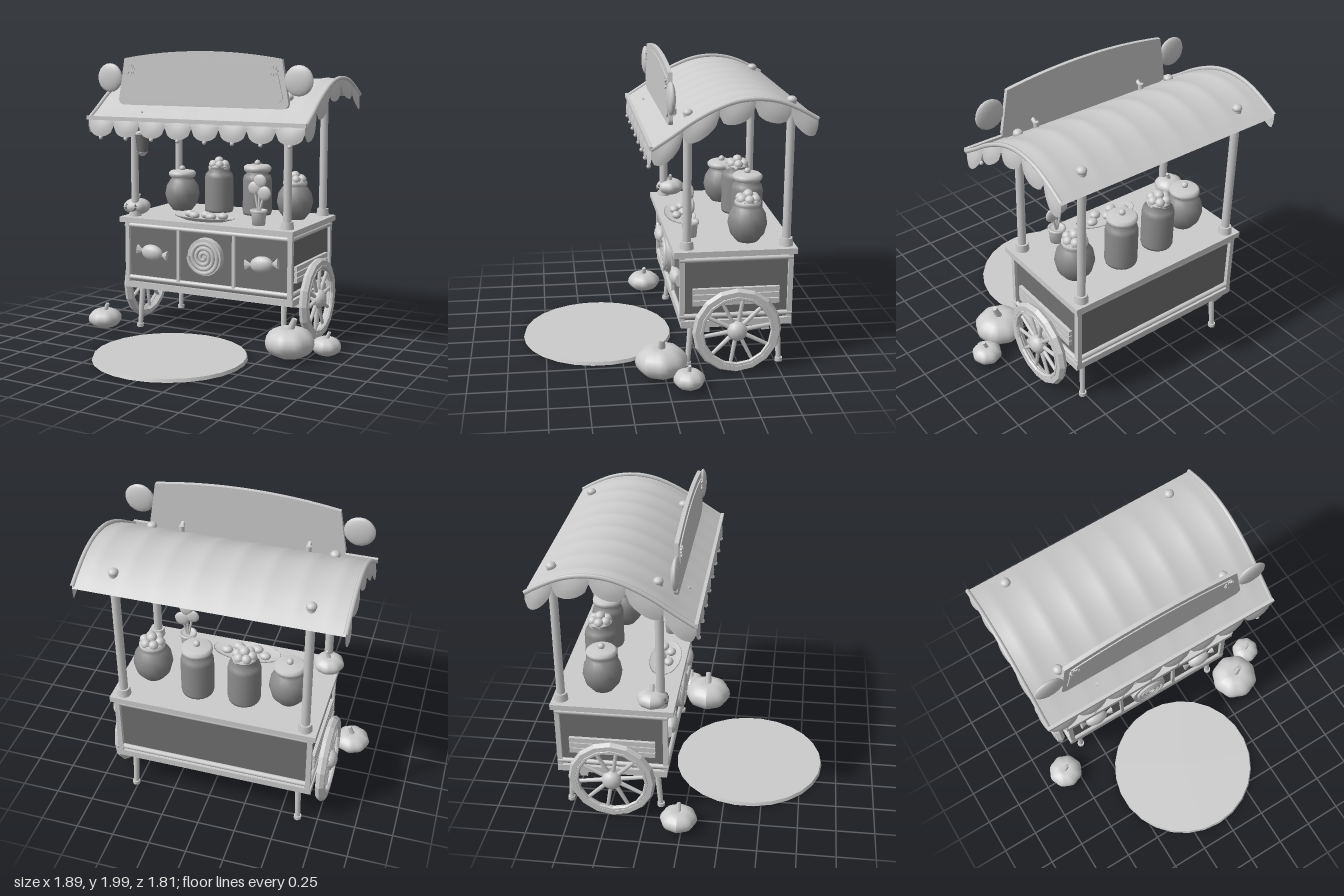
import * as THREE from 'three';

const mat = (color, extra = {}) => new THREE.MeshStandardMaterial({ color, ...extra });
const grey = mat(0xcccccc);
const flat = mat(0xcccccc, { flatShading: true });
const cloth = mat(0xcccccc, { side: THREE.DoubleSide });
const dark = mat(0x707070);
const glass = mat(0x8c8c8c);
const V = (x, y, z) => new THREE.Vector3(x, y, z);
const CX = -0.053; // centre line of the cart
const CZ = -0.465;

function add(parent, name, geo, pos = [0, 0, 0], material = grey) {
  const m = new THREE.Mesh(geo, material);
  m.name = name;
  m.position.set(...pos);
  parent.add(m);
  return m;
}
const box = (p, name, size, pos, m) => add(p, name, new THREE.BoxGeometry(...size), pos, m);
function ball(p, name, r, pos, scale = [1, 1, 1], m) {
  const b = add(p, name, new THREE.SphereGeometry(r, 14, 10), pos, m);
  b.scale.set(...scale);
  return b;
}
function rod(p, name, a, b, r0, r1 = r0, sides = 10) {
  const d = b.clone().sub(a);
  const m = add(p, name, new THREE.CylinderGeometry(r1, r0, d.length(), sides), a.clone().add(b).multiplyScalar(0.5).toArray());
  m.quaternion.setFromUnitVectors(V(0, 1, 0), d.normalize());
  return m;
}
const lathe = (p, name, pts, pos, m, sides = 20) =>
  add(p, name, new THREE.LatheGeometry(pts.map(q => new THREE.Vector2(...q)), sides), pos, m);
function group(p, name, pos = [0, 0, 0]) {
  const g = new THREE.Group();
  g.name = name;
  g.position.set(...pos);
  p.add(g);
  return g;
}

// Surface through a grid of points f(u, v)
function sheet(f, nu, nv) {
  const g = new THREE.PlaneGeometry(1, 1, nu, nv), p = g.attributes.position;
  for (let i = 0; i < p.count; i++) p.setXYZ(i, ...f(p.getX(i) + 0.5, 0.5 - p.getY(i)));
  g.computeVertexNormals();
  return g;
}

// Ribbed pumpkin with a bent stem
function pumpkin(p, r, h, pos) {
  const g = group(p, 'pumpkin', pos);
  const geo = new THREE.SphereGeometry(1, 32, 12), a = geo.attributes.position;
  for (let i = 0; i < a.count; i++) {
    const v = V(0, 0, 0).fromBufferAttribute(a, i), q = Math.hypot(v.x, v.z);
    const lobe = 1 - 0.06 * (1 - Math.cos(8 * Math.atan2(v.z, v.x))) / 2;
    const y = v.y * (1 - 0.2 * Math.max(0, 1 - q * 2));
    a.setXYZ(i, v.x * lobe * r, (y + 1) * h / 2, v.z * lobe * r);
  }
  geo.computeVertexNormals();
  add(g, 'pumpkinBody', geo);
  rod(g, 'stem', V(0, h * 0.85, 0), V(r * 0.2, h * 1.25, 0), r * 0.15, r * 0.11, 6);
  return g;
}

function wheel(p, x, side) {
  const g = group(p, 'wheel', [x, 0.297, CZ]);
  g.rotation.y = side * Math.PI / 2;
  add(g, 'rim', new THREE.TorusGeometry(0.257, 0.032, 6, 16), [0, 0, 0], flat);
  add(g, 'innerRim', new THREE.TorusGeometry(0.23, 0.014, 6, 16), [0, 0, 0.018], flat);
  for (let i = 0; i < 10; i++) {
    const t = i / 10 * Math.PI * 2 + 0.15;
    rod(g, 'spoke', V(0, 0, 0), V(Math.cos(t) * 0.24, Math.sin(t) * 0.24, 0), 0.016, 0.012, 6);
  }
  ball(g, 'hub', 0.066, [0, 0, 0.01], [1, 1, 0.8]);
}

// Scalloped cloth strip hanging from an edge, bulging along "out"
function valance(p, edge, n, depth, out, beads) {
  const drop = u => 0.38 + 0.62 * Math.sqrt(Math.max(0, 1 - (2 * u - 1) ** 2));
  for (let i = 0; i < n; i++) {
    add(p, 'valanceScallop', sheet((u, v) => {
      const e = edge((i + u) / n), b = 0.018 * Math.sin(Math.PI * u) * Math.sin(v * 2.2);
      return [e.x + out.x * b, e.y - depth * v * drop(u), e.z + out.z * b];
    }, 10, 4), [0, 0, 0], cloth);
    if (beads) ball(p, 'bead', 0.014, edge((i + 0.5) / n).add(V(0, -depth - 0.008, 0.008)).toArray());
  }
}

// Wrapped sweet
function sweet(p, pos, tilt, s = 1) {
  const g = group(p, 'wrappedSweet', pos);
  g.rotation.z = tilt;
  g.scale.setScalar(s);
  ball(g, 'sweetBody', 0.085, [0, 0, 0], [1, 0.68, 0.5]);
  for (const k of [-1, 1]) {
    const w = add(g, 'wrapperEnd', new THREE.ConeGeometry(0.04, 0.055, 8), [k * 0.095, 0, 0], flat);
    w.rotation.z = k * Math.PI / 2;
    w.scale.z = 0.5;
  }
}

function jar(p, x, z, profile, lidY, lidR, open) {
  const g = group(p, 'jar', [x, 0.83, z]);
  lathe(g, 'jarGlass', profile, [0, 0, 0], glass);
  lathe(g, 'jarRim', [[0, -0.025], [lidR * 0.9, -0.025], [lidR, -0.008], [lidR, 0.008], [lidR * 0.85, 0.022], [0, 0.028]], [0, lidY, 0]);
  if (!open) return ball(g, 'lidKnob', 0.022, [0, lidY + 0.038, 0]);
  for (let i = 0; i < 6; i++) ball(g, 'gumball', 0.032, [Math.cos(i * 1.05) * lidR * 0.6, lidY + 0.025, Math.sin(i * 1.05) * lidR * 0.6]);
  ball(g, 'gumball', 0.034, [0, lidY + 0.05, 0]);
}

function buildCart(p) {
  box(p, 'counterTop', [1.34, 0.038, 0.79], [CX, 0.81, -0.455]);
  box(p, 'cabinet', [1.26, 0.44, 0.68], [CX, 0.575, CZ], dark);
  box(p, 'baseSlab', [1.31, 0.045, 0.72], [CX, 0.333, -0.47]);
  for (const z of [-0.27, -0.66]) box(p, 'underRail', [1.3, 0.035, 0.05], [CX, 0.293, z]);
  // Frame around the panels
  for (const z of [-0.118, -0.815]) {
    for (const y of [0.765, 0.385]) rod(p, 'longRail', V(-0.7, y, z), V(0.595, y, z), 0.017);
    for (const x of [-0.685, 0.58]) box(p, 'cornerPost', [0.032, 0.44, 0.032], [x, 0.575, z]);
  }
  for (const x of [-0.69, 0.585]) {
    for (const y of [0.765, 0.385]) rod(p, 'sideRail', V(x, y, -0.1), V(x, y, -0.83), 0.016);
    for (let i = 0; i < 3; i++) box(p, 'sideSlat', [0.03, 0.034, 0.56], [x, 0.475 + i * 0.04, CZ]);
  }
  for (const x of [-0.27, 0.163]) box(p, 'divider', [0.022, 0.37, 0.03], [x, 0.575, -0.118]);
  // Splayed legs, axle and wheels
  for (const x of [-0.61, 0.505]) for (const z of [-0.19, -0.755]) {
    const foot = V(x - 0.01 * Math.sign(-x), 0.01, z + (z > -0.4 ? 0.025 : -0.02));
    rod(p, 'leg', foot, V(x, 0.32, z), 0.017, 0.021);
    rod(p, 'foot', foot, foot.clone().add(V(0, 0.025, 0)), 0.025);
  }
  rod(p, 'axle', V(-0.745, 0.297, CZ), V(0.64, 0.297, CZ), 0.02);
  wheel(p, -0.745, -1);
  wheel(p, 0.64, 1);
  // Front ornaments
  sweet(p, [-0.48, 0.58, -0.105], -0.12);
  sweet(p, [0.375, 0.58, -0.105], 0.12);
  const disc = add(p, 'swirlDisc', new THREE.CylinderGeometry(0.13, 0.135, 0.04, 20), [CX, 0.59, -0.105]);
  disc.rotation.x = Math.PI / 2;
  const spiral = Array.from({ length: 60 }, (_, i) => {
    const t = i / 59, a = -t * Math.PI * 7;
    return V(Math.cos(a) * (0.01 + 0.11 * t), Math.sin(a) * (0.01 + 0.11 * t), 0);
  });
  add(p, 'swirl', new THREE.TubeGeometry(new THREE.CatmullRomCurve3(spiral), 110, 0.014, 6), [CX, 0.59, -0.08]);
}

function buildCanopy(p) {
  const arch = new THREE.CatmullRomCurve3([[0.1, 1.53], [-0.016, 1.605], [-0.14, 1.69], [-0.28, 1.765], [-0.41, 1.81],
    [-0.545, 1.822], [-0.68, 1.8], [-0.81, 1.745], [-0.9, 1.695]].map(([z, y]) => V(0, y, z)));
  const x0 = -0.865, w = 1.625;
  const roof = lift => sheet((u, v) => {
    const e = arch.getPoint(1 - v);
    return [x0 + w * u, e.y + lift - 0.01 * Math.abs(Math.cos(u * 8 * Math.PI)) * Math.sin(Math.PI * v), e.z];
  }, 64, 24);
  add(p, 'canopy', roof(0), [0, 0, 0], cloth);
  add(p, 'canopyLining', roof(-0.015), [0, 0, 0], cloth);
  for (const x of [x0, x0 + w]) {
    add(p, 'sideTrim', new THREE.TubeGeometry(arch, 30, 0.014, 6), [x, 0, 0]);
    valance(p, t => arch.getPoint(t).add(V(x, 0, 0)), 5, 0.135, V(Math.sign(x), 0, 0), false);
  }
  box(p, 'frontTrim', [w + 0.02, 0.026, 0.022], [x0 + w / 2, 1.54, 0.1]);
  valance(p, t => V(x0 + w * t, 1.535, 0.095), 8, 0.122, V(0, 0, 1), true);
  // Posts with collars and roof finials
  for (const x of [-0.645, 0.54]) for (const [z, top] of [[-0.15, 1.69], [-0.79, 1.755]]) {
    rod(p, 'post', V(x, 0.83, z), V(x, top, z), 0.028);
    rod(p, 'postCollar', V(x, 0.83, z), V(x, 0.88, z), 0.046, 0.04, 12);
    rod(p, 'postCap', V(x, top - 0.09, z), V(x, top - 0.04, z), 0.036);
    ball(p, 'finial', 0.032, [x, top + 0.012, z], [1, 0.8, 1]);
  }
  // Hanging lantern
  const l = group(p, 'lantern', [-0.48, 0, 0.015]);
  rod(l, 'hook', V(0, 1.44, 0), V(0, 1.59, 0), 0.008);
  add(l, 'lanternGlass', new THREE.CylinderGeometry(0.05, 0.035, 0.13, 6), [0, 1.375, 0], dark);
  add(l, 'lanternCap', new THREE.CylinderGeometry(0.03, 0.056, 0.022, 6), [0, 1.445, 0], flat);
  add(l, 'lanternTip', new THREE.CylinderGeometry(0.04, 0.012, 0.03, 6), [0, 1.297, 0], flat);
}

// Blank board with an arched top
function boardShape(d) {
  const s = new THREE.Shape(), b = 1.63 + d, l = -0.69 + d, r = 0.588 - d;
  s.moveTo(l + 0.05, b);
  s.lineTo(r - 0.05, b);
  s.quadraticCurveTo(r + 0.01, b, r, b + 0.05);
  s.lineTo(r - 0.045, 1.95 - d);
  s.quadraticCurveTo(CX, 2.05 - d, l + 0.045, 1.95 - d);
  s.lineTo(l, b + 0.05);
  s.quadraticCurveTo(l - 0.01, b, l + 0.05, b);
  return s;
}
function buildSign(p) {
  const ex = (d, depth) => new THREE.ExtrudeGeometry(boardShape(d), { depth, bevelEnabled: false, curveSegments: 16 });
  add(p, 'signBoard', ex(0, 0.026), [0, 0, -0.053]);
  add(p, 'signFace', ex(0.04, 0.008), [0, 0, -0.028]);
  for (const x of [-0.59, 0.485]) for (let i = 0; i < 4; i++)
    box(p, 'star', [0.068, 0.012, 0.012], [x, 1.875, -0.018]).rotation.z = i * Math.PI / 4;
  for (const x of [-0.765, 0.66]) ball(p, 'signDrop', 0.1, [x, 1.815, -0.03], [1, 1, 0.27]);
  for (const x of [-0.465, 0.365]) {
    rod(p, 'signBracket', V(x, 1.58, -0.09), V(x, 1.69, -0.085), 0.018);
    rod(p, 'signBracketArm', V(x, 1.67, -0.09), V(x, 1.7, -0.04), 0.014);
  }
}

function buildWares(p) {
  const round = [[0, 0], [0.07, 0], [0.11, 0.05], [0.128, 0.12], [0.118, 0.18], [0.09, 0.225], [0.075, 0.24], [0.08, 0.27]];
  const tall = [[0, 0], [0.1, 0], [0.106, 0.02], [0.106, 0.25], [0.098, 0.28], [0.08, 0.295], [0.08, 0.33]];
  jar(p, -0.48, -0.55, round, 0.27, 0.1, false);
  jar(p, -0.205, -0.61, tall, 0.32, 0.08, true);
  jar(p, 0.1, -0.62, tall, 0.335, 0.1, false);
  jar(p, 0.42, -0.56, round, 0.255, 0.085, true);
  // Platter of sweets
  const dish = lathe(p, 'platter', [[0, 0], [0.15, 0], [0.235, 0.025], [0.225, 0.03], [0.15, 0.012], [0, 0.012]], [-0.105, 0.83, -0.195]);
  dish.scale.z = 0.45;
  for (let i = 0; i < 5; i++) ball(p, 'platterSweet', 0.032, [-0.235 + i * 0.065, 0.865, -0.195 + (i % 2 ? 0.03 : -0.025)], [1.2, 0.8, 1]);
  // Pot of lollipops
  lathe(p, 'pot', [[0, 0], [0.045, 0], [0.052, 0.085], [0.06, 0.088], [0.06, 0.105], [0.045, 0.105], [0.04, 0.09], [0, 0.09]], [0.305, 0.83, -0.205], grey, 14);
  for (const [x, y, r] of [[0.31, 1.13, 0.047], [0.268, 1.08, 0.046], [0.342, 1.048, 0.05]]) {
    rod(p, 'lollipopStick', V(0.305, 0.9, -0.205), V(x, y, -0.21), 0.008, 0.008, 6);
    ball(p, 'lollipop', r, [x, y, -0.21], [1, 1, 0.35]);
  }
  // Carved pumpkin
  const jack = pumpkin(p, 0.1, 0.12, [-0.66, 0.83, -0.2]);
  for (const k of [-1, 1]) {
    const eye = add(jack, 'eye', new THREE.ConeGeometry(0.016, 0.024, 3), [k * 0.035, 0.078, 0.085], dark);
    eye.scale.z = 0.6;
  }
  const grin = add(jack, 'grin', new THREE.TorusGeometry(0.042, 0.008, 6, 10, Math.PI), [0, 0.062, 0.092], dark);
  grin.rotation.z = Math.PI;
  grin.scale.y = 0.6;
}

export function createModel() {
  const root = new THREE.Group();
  root.name = 'sweetCart';
  buildCart(group(root, 'cart'));
  buildCanopy(group(root, 'canopyFrame'));
  buildSign(group(root, 'sign'));
  buildWares(group(root, 'wares'));
  pumpkin(root, 0.17, 0.215, [0.64, 0.005, 0.02]);
  pumpkin(root, 0.1, 0.13, [0.84, 0.01, -0.13]);
  pumpkin(root, 0.122, 0.145, [-0.83, 0.01, -0.02]);
  add(root, 'roundMat', new THREE.CylinderGeometry(0.505, 0.513, 0.022, 26), [-0.053, 0.019, 0.388]);
  return root;
}
